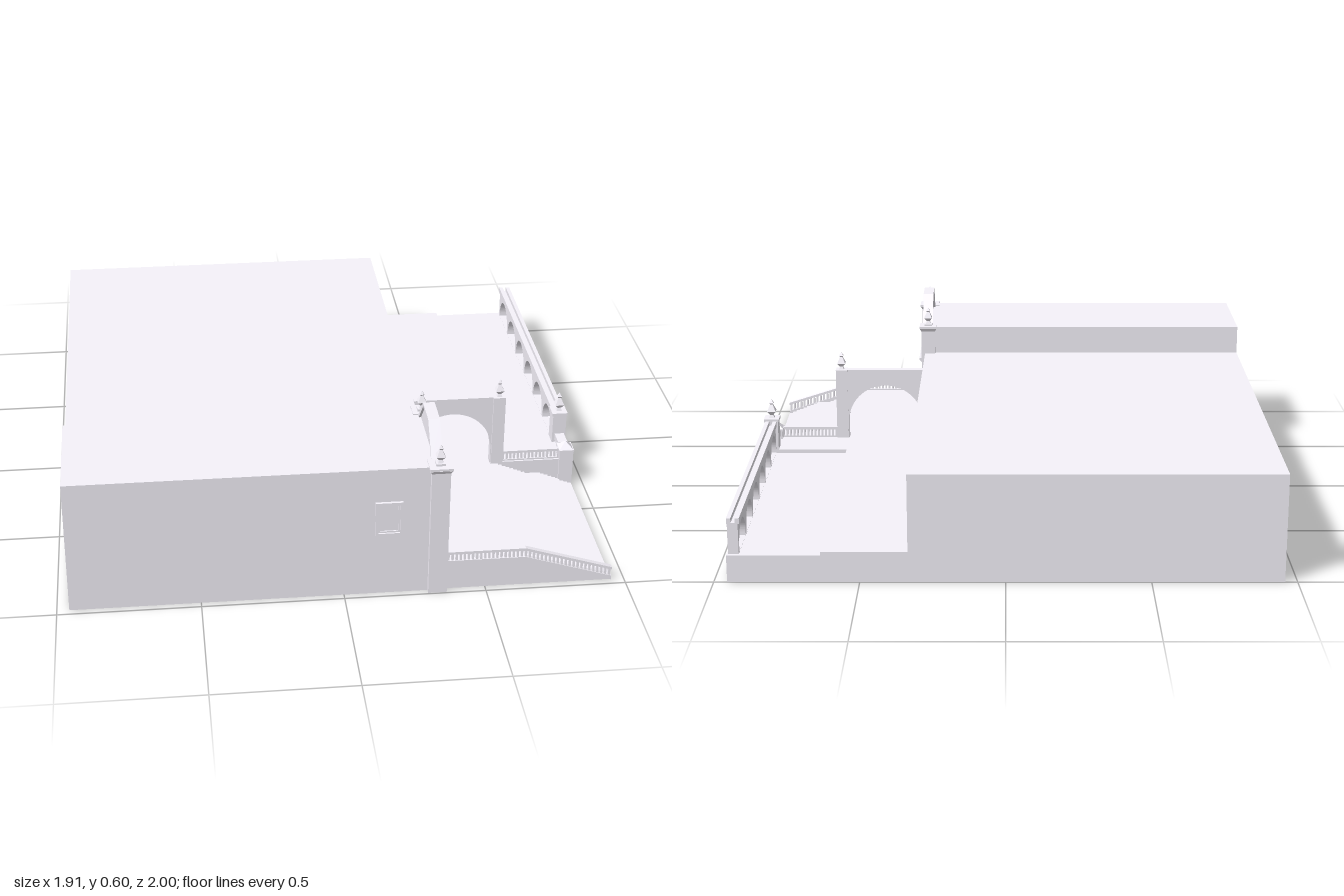
import * as THREE from 'three';

export function createModel() {
  const group = new THREE.Group();
  const mat = new THREE.MeshStandardMaterial({ color: 0xf6f3fb, flatShading: true });

  function add(name, geo, parent = group) {
    const m = new THREE.Mesh(geo, mat);
    m.name = name;
    parent.add(m);
    return m;
  }
  // Box given by its limits on each axis
  function box(name, x0, x1, y0, y1, z0, z1, parent) {
    const g = new THREE.BoxGeometry(x1 - x0, y1 - y0, z1 - z0);
    g.translate((x0 + x1) / 2, (y0 + y1) / 2, (z0 + z1) / 2);
    return add(name, g, parent);
  }
  const poly = (pts) => new THREE.Shape(pts.map(([a, b]) => new THREE.Vector2(a, b)));
  const rect = (x0, x1, y0, y1) => poly([[x0, y0], [x1, y0], [x1, y1], [x0, y1]]);
  // Profile in x/y, extruded from z0 to z1
  function alongZ(name, shape, z0, z1, parent) {
    const g = new THREE.ExtrudeGeometry(shape, { depth: z1 - z0, bevelEnabled: false, curveSegments: 20 });
    return add(name, g.translate(0, 0, z0), parent);
  }
  // Profile in (-z)/y, extruded from x0 to x1
  function alongX(name, shape, x0, x1) {
    const g = new THREE.ExtrudeGeometry(shape, { depth: x1 - x0, bevelEnabled: false, curveSegments: 20 });
    return add(name, g.rotateY(Math.PI / 2).translate(x0, 0, 0));
  }
  // Round-headed opening
  function archHole(c, r, y0, spring) {
    const p = new THREE.Path();
    p.moveTo(c - r, y0);
    p.lineTo(c + r, y0);
    p.lineTo(c + r, spring);
    p.absarc(c, spring, r, 0, Math.PI, false);
    p.lineTo(c - r, y0);
    return p;
  }
  // Square block flaring from half-width a to half-width b
  function flare(name, x, z, y0, y1, a, b) {
    const g = new THREE.CylinderGeometry(b * Math.SQRT2, a * Math.SQRT2, y1 - y0, 4).rotateY(Math.PI / 4);
    add(name, g.translate(x, (y0 + y1) / 2, z));
  }
  // Four-sided ornamental spire
  const spire = [[0, 0], [0.2, 0], [0.12, 0.16], [0.32, 0.36], [0.1, 0.72], [0.16, 0.8], [0, 1]];
  function finial(x, y, z, h) {
    const pts = spire.map(([r, t]) => new THREE.Vector2(r * h, t * h));
    const g = new THREE.LatheGeometry(pts, 4).rotateY(Math.PI / 4);
    add('finial', g.translate(x, y, z));
  }

  // Building masses and terraces
  box('mainBlock', -0.957, 0.335, 0, 0.39, -1, 0.56);
  box('frontBlock', -0.957, 0.312, 0, 0.5, 0.56, 0.976);
  box('upperTerrace', 0.335, 0.633, 0, 0.11, -1, 0.31);
  box('lowerTerrace', 0.633, 0.954, 0, 0.097, -1, 0.12);
  box('terraceCorner', 0.633, 0.954, 0, 0.11, 0.12, 0.31);

  // Framed window on the front wall
  const frame = rect(0.106, 0.202, 0.24, 0.372);
  frame.holes.push(rect(0.116, 0.192, 0.25, 0.362));
  alongZ('windowFrame', frame, 0.97, 0.986);
  const innerFrame = rect(0.116, 0.192, 0.25, 0.362);
  innerFrame.holes.push(rect(0.122, 0.186, 0.256, 0.356));
  alongZ('windowInnerFrame', innerFrame, 0.97, 0.98);

  // Stairs: two flights with a landing between them
  const N = 9, pts = [[0.335, 0], [0.335, 0.11]];
  function flight(x0, x1, y0, y1) {
    for (let i = 0; i < N; i++) {
      const x = x0 + (x1 - x0) * i / (N - 1);
      pts.push([x, y0 + (y1 - y0) * i / N], [x, y0 + (y1 - y0) * (i + 1) / N]);
    }
  }
  flight(0.65, 0.77, 0.11, 0.055);
  flight(0.83, 0.953, 0.055, 0);
  alongZ('stairs', poly(pts), 0.31, 0.972);

  // Balustrade following a height rule, along x
  function balustrade(name, x0, x1, z, heightAt, breaks) {
    const b = new THREE.Group();
    b.name = name;
    group.add(b);
    const xs = [x0, ...breaks, x1];
    const band = (lo, hi) => poly([...xs.map((x) => [x, heightAt(x) + lo]),
      ...xs.slice().reverse().map((x) => [x, heightAt(x) + hi])]);
    alongZ('handrail', band(0.032, 0.042), z - 0.009, z + 0.009, b);
    alongZ('baseRail', band(-0.01, 0.006), z - 0.008, z + 0.008, b);
    const n = Math.round((x1 - x0) / 0.0145);
    for (let i = 0; i < n; i++) {
      const x = x0 + (x1 - x0) * (i + 0.5) / n, y = heightAt(x);
      box('baluster', x - 0.0038, x + 0.0038, y, y + 0.036, z - 0.005, z + 0.005, b);
    }
  }
  balustrade('stairBalustrade', 0.36, 0.953, 0.968, (x) => 0.11 - Math.max(0, x - 0.64) * 0.318, [0.64]);
  balustrade('terraceBalustrade', 0.68, 0.908, 0.295, () => 0.11, []);

  // Gabled portal wall with doorway
  const wall = poly([[-0.57, 0], [-0.57, 0.495], [-0.605, 0.495], [-0.706, 0.602], [-0.826, 0.602],
    [-0.92, 0.495], [-0.95, 0.495], [-0.95, 0]]);
  wall.holes.push(archHole(-0.765, 0.047, 0.11, 0.243));
  alongX('portalWall', wall, 0.312, 0.335);
  const coping = poly([[-0.92, 0.495], [-0.826, 0.604], [-0.706, 0.604], [-0.605, 0.495], [-0.62, 0.495],
    [-0.712, 0.592], [-0.82, 0.592], [-0.905, 0.495]]);
  alongX('gableCoping', coping, 0.304, 0.345);

  // Door surround: arch moulding, pilasters, small finials, entablature
  const ring = new THREE.Shape();
  ring.moveTo(-0.71, 0.11);
  ring.lineTo(-0.71, 0.243);
  ring.absarc(-0.765, 0.243, 0.055, 0, Math.PI, false);
  ring.lineTo(-0.82, 0.11);
  ring.lineTo(-0.812, 0.11);
  ring.lineTo(-0.812, 0.243);
  ring.absarc(-0.765, 0.243, 0.047, Math.PI, 0, true);
  ring.lineTo(-0.718, 0.11);
  alongX('doorMoulding', ring, 0.33, 0.34);
  for (const z of [0.682, 0.842]) {
    box('pilaster', 0.33, 0.35, 0.11, 0.315, z - 0.01, z + 0.01);
    box('pilasterBase', 0.33, 0.355, 0.11, 0.135, z - 0.013, z + 0.013);
    finial(0.347, 0.338, z, 0.046);
  }
  const entablature = poly([[0.33, 0.312], [0.345, 0.312], [0.364, 0.333], [0.364, 0.34], [0.33, 0.34]]);
  alongZ('entablature', entablature, 0.658, 0.868);

  // Tall corner pillars of the portal
  for (const [x, z, w] of [[0.328, 0.962, 0.033], [0.321, 0.573, 0.028]]) {
    box('portalPillar', x - w, x + w, 0, 0.488, z - w, z + w);
    flare('pillarCapMoulding', x, z, 0.484, 0.496, w, w + 0.006);
    box('pillarCap', x - w - 0.007, x + w + 0.007, 0.496, 0.504, z - w - 0.005, z + w + 0.005);
    box('finialBase', x - 0.016, x + 0.016, 0.504, 0.512, z - 0.016, z + 0.016);
    finial(x, 0.512, z, 0.068);
  }

  // Large archway across the terrace
  const arch = poly([[0.335, 0.11], [0.335, 0.18]]);
  arch.absarc(0.484, 0.18, 0.149, Math.PI, 0, true);
  for (const [x, y] of [[0.633, 0.11], [0.68, 0.11], [0.68, 0.393], [0.335, 0.393]]) arch.lineTo(x, y);
  alongZ('archway', arch, 0.28, 0.312);
  box('archwayPier', 0.636, 0.682, 0.11, 0.393, 0.278, 0.32);
  finial(0.66, 0.393, 0.3, 0.07);

  // Arcaded parapet on the terrace edge, with a grooved top
  const arcade = poly([[-0.13, 0.09], [0.985, 0.09], [0.985, 0.21], [-0.13, 0.21]]);
  for (let i = 0; i < 6; i++) arcade.holes.push(archHole(-0.037 + i * 0.1845, 0.083, 0.098, 0.108));
  alongX('arcade', arcade, 0.912, 0.949);
  for (const x of [0.907, 0.936]) box('arcadeCoping', x, x + 0.015, 0.207, 0.227, -0.985, 0.125);

  // Gate pier, low wall and pedestal beside the stairs
  box('gatePier', 0.902, 0.954, 0, 0.225, 0.122, 0.178);
  box('gatePierCap', 0.898, 0.957, 0.225, 0.236, 0.119, 0.181);
  finial(0.928, 0.236, 0.15, 0.075);
  box('lowWall', 0.92, 0.936, 0.1, 0.128, 0.178, 0.265);
  box('lowWallRail', 0.91, 0.946, 0.125, 0.15, 0.184, 0.252);
  box('pedestal', 0.902, 0.955, 0, 0.145, 0.262, 0.318);
  box('pedestalCap', 0.9, 0.957, 0.143, 0.152, 0.257, 0.321);
  flare('pedestalPyramid', 0.928, 0.289, 0.152, 0.176, 0.026, 0.001);

  return group;
}
